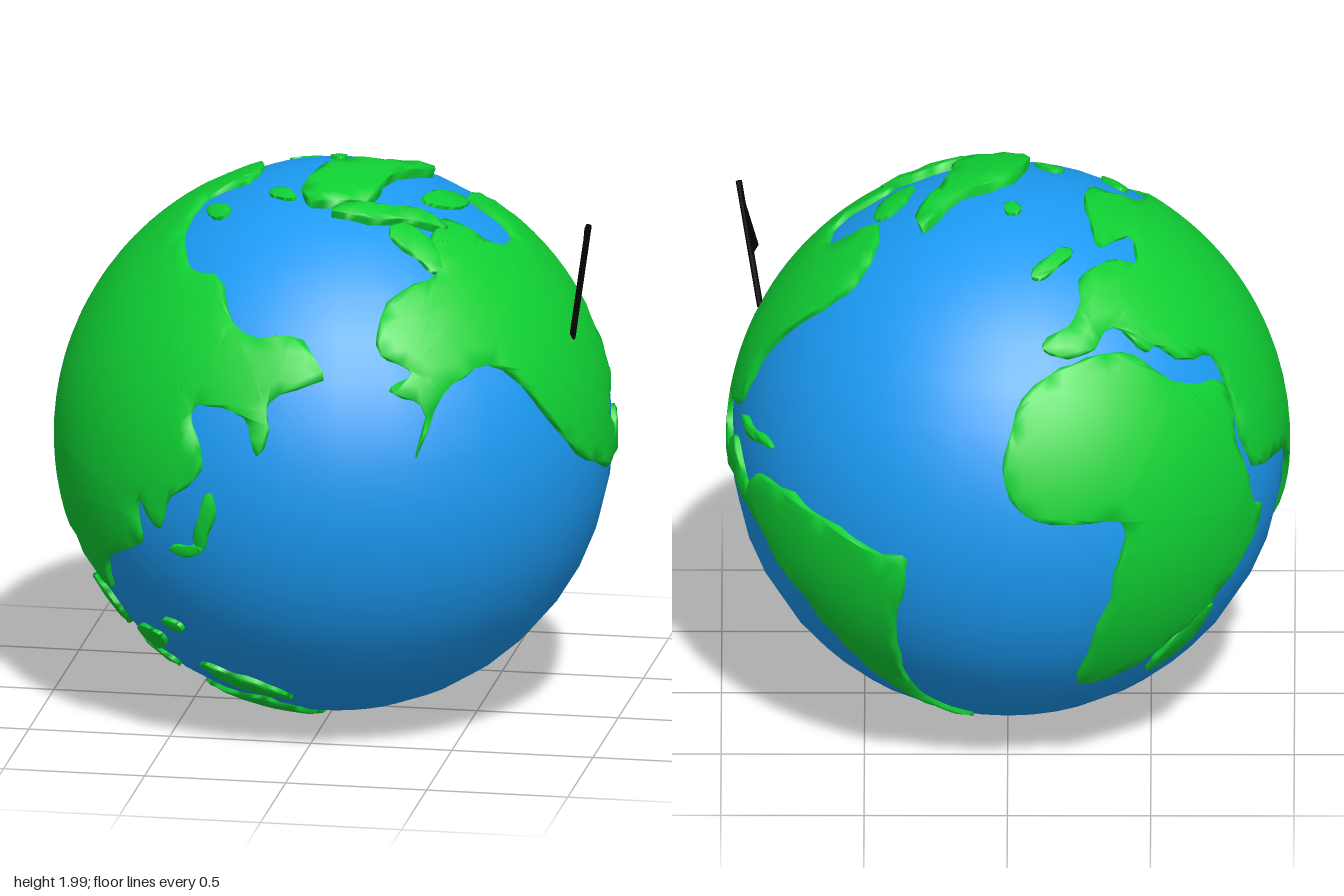
import * as THREE from 'three';

const CENTRE = 0.985, LAND = 0.985, OCEAN = 0.968;

// A chart turns flat coast points (hundredths) into points on the globe, seen from an azimuth and elevation.
function chart(az, el, v0 = 0, flip = 1) {
  const a = THREE.MathUtils.degToRad(az), e = THREE.MathUtils.degToRad(el);
  const d = new THREE.Vector3(Math.sin(a) * Math.cos(e), Math.sin(e), Math.cos(a) * Math.cos(e));
  const r = new THREE.Vector3(Math.cos(a), 0, -Math.sin(a));
  const up = d.clone().cross(r);
  return (...c) => {
    const out = [];
    for (let i = 0; i < c.length; i += 2) {
      const u = c[i] / 100, v = flip * (c[i + 1] / 100 - v0);
      const w = Math.sqrt(Math.max(0, LAND * LAND - u * u - v * v));
      out.push(new THREE.Vector3().addScaledVector(r, u).addScaledVector(up, v).addScaledVector(d, w).normalize());
    }
    return out;
  };
}
const pacific = chart(0, 0, CENTRE);
const americas = chart(90, 0, CENTRE);
const arctic = chart(0, 90, 0, -1);
const antarctic = chart(0, -90);
const africaSide = chart(215, 25);
const southAtlantic = chart(140, -28);

// Oval island on a chart: centre, half length, half width, turn in degrees.
function island(map, u, v, long, wide, turn) {
  const t = THREE.MathUtils.degToRad(turn), c = [];
  for (let i = 0; i < 8; i++) {
    const a = i * Math.PI / 4, x = long * Math.cos(a), y = wide * Math.sin(a);
    c.push(u + x * Math.cos(t) - y * Math.sin(t), v + x * Math.sin(t) + y * Math.cos(t));
  }
  return map(...c);
}

// Ragged shoreline: a smooth wave field nudges each coast point.
function ragged(p) {
  const wave = (a, b) => 0.008 * Math.sin(28 * a + 9 * b) + 0.005 * Math.sin(61 * b - 17 * a);
  return p.set(p.x + wave(p.y, p.z), p.y + wave(p.z, p.x), p.z + wave(p.x, p.y)).normalize();
}

// Curved slab of land: coast flattened around its middle, triangulated, refined and wrapped on the globe.
function landGeometry(coast, top) {
  const ring = new THREE.CatmullRomCurve3(coast, true, 'centripetal').getPoints(coast.length * 4).slice(0, -1).map(ragged);
  const mid = new THREE.Vector3();
  ring.forEach(p => mid.add(p));
  mid.normalize();
  const e1 = new THREE.Vector3(0.3, 0.5, 0.8).cross(mid).normalize();
  const e2 = mid.clone().cross(e1);
  const flat = ring.map(p => {
    const x = p.dot(e1), y = p.dot(e2), k = Math.acos(THREE.MathUtils.clamp(p.dot(mid), -1, 1)) / (Math.hypot(x, y) || 1);
    return new THREE.Vector2(x * k, y * k);
  });
  const faces = THREE.ShapeUtils.triangulateShape(flat.slice(), []);
  const mids = new Map(), tris = [];
  const middle = (a, b) => {
    const key = a < b ? `${a}_${b}` : `${b}_${a}`;
    if (!mids.has(key)) mids.set(key, flat.push(flat[a].clone().add(flat[b]).multiplyScalar(0.5)) - 1);
    return mids.get(key);
  };
  const split = (a, b, c) => {
    const ab = flat[a].distanceTo(flat[b]), bc = flat[b].distanceTo(flat[c]), ca = flat[c].distanceTo(flat[a]);
    if (bc > ab && bc >= ca) return split(b, c, a);
    if (ca > ab && ca > bc) return split(c, a, b);
    if (ab <= 0.09) { tris.push([a, b, c]); return; }
    const m = middle(a, b);
    split(a, m, c);
    split(m, b, c);
  };
  for (const [a, b, c] of faces) {
    const p = flat[a], q = flat[b], s = flat[c];
    const area = (q.x - p.x) * (s.y - p.y) - (q.y - p.y) * (s.x - p.x);
    if (area > 0) split(a, b, c); else split(a, c, b);
  }
  // edges used once form the shore, which drops below the water
  const edges = new Set(tris.flatMap(([a, b, c]) => [`${a}_${b}`, `${b}_${c}`, `${c}_${a}`]));
  const shore = [...edges].map(k => k.split('_').map(Number)).filter(([a, b]) => !edges.has(`${b}_${a}`));
  const rim = new Set(shore.flat());
  const n = flat.length, pos = [], index = tris.flat();
  for (const under of [false, true]) flat.forEach((f, i) => {
    const ang = f.length(), k = ang ? Math.sin(ang) / ang : 1;
    const radius = under ? 0.95 : rim.has(i) ? top - 0.006 : top;
    const p = mid.clone().multiplyScalar(Math.cos(ang)).addScaledVector(e1, f.x * k).addScaledVector(e2, f.y * k);
    pos.push(p.x * radius, p.y * radius, p.z * radius);
  });
  for (const [a, b] of shore) index.push(a, a + n, b, b, a + n, b + n);
  const g = new THREE.BufferGeometry();
  g.setAttribute('position', new THREE.Float32BufferAttribute(pos, 3));
  g.setIndex(index);
  g.computeVertexNormals();
  return g;
}

function coasts() {
  return {
    northAmerica: [
      ...pacific(30, 152, 40, 145, 34, 139, 46, 133, 44, 117, 52, 136, 65, 144),
      ...americas(-45, 121, -31, 105, -7, 94, 17, 95, 34, 90, 42, 95, 28, 102, 19, 109, 9, 102, -1, 113, 18, 123, 22, 142, 33, 171),
      ...arctic(48, -27, 47, -8, 63, 0, 60, 16, 42, 19, 40, 36, 44, 46, 30, 65)],
    southAmerica: southAtlantic(-48, 34, -39, 48, -11, 51, 18, 43, 32, 39, 26, 20, 18, -12, 16, -35, 22, -54, 6, -22, -11, 6, -36, 28),
    africa: africaSide(-42, 19, -23, 27, 0, 24, 12, 11, 36, 5, 37, -18, 44, -39, 51, -41, 44, -51, 29, -67, 11, -79, -21, -87,
      -22, -58, -18, -33, -42, -27, -55, -13, -53, 2),
    eurasia: [
      ...arctic(-13, -69, -24, -59, -26, -45, -36, -34, -46, -30, -42, -17, -32, -28, -28, -10, -30, 9, -40, 10, -46, 14,
        -45, 47, -33, 58, -18, 78, 3, 80),
      ...pacific(10, 144, -8, 136, -7, 125, -12, 116, -16, 130, -33, 132, -36, 124, -31, 110, -44, 97, -47, 85, -57, 95,
        -57, 78, -72, 65, -71, 52, -86, 67),
      ...africaSide(83, -41, 79, -53, 74, -25, 45, -26, 38, 0, 35, 15, 16, 19, 11, 26, 7, 25, -2, 35, -16, 29, -28, 31)],
    australia: antarctic(-41, 28, -30, 36, -17, 47, -7, 36, -1, 17, 0, 5, -23, -11, -38, 10),
    greenland: arctic(30, -22, 16, -8, -2, 4, -5, 30, 11, 32, 19, 25, 20, 8, 32, -15),
    baffinIsland: island(arctic, 40, 5, 12, 5, -61),
    northernArchipelago: island(arctic, 24, 31, 20, 4, -18),
    westernArchipelago: island(arctic, 36, 40, 11, 6, 20),
    iceland: island(arctic, -2, -16, 3, 4, 0),
    britain: island(arctic, -16, -41, 9, 3, -45),
    polarIsland: island(arctic, -14, 25, 6, 3, 40),
    siberianIsland: island(arctic, -38, 26, 7, 3, 50),
    newZealand: island(southAtlantic, -4, -77, 10, 2, 8),
    madagascar: island(africaSide, 17, -80, 13, 4, 40),
    japan: island(pacific, -31, 91, 12, 3, 80),
    southJapan: island(pacific, -38, 79, 7, 2, 15),
    newGuinea: island(pacific, -22, 22, 17, 3, -20),
    borneo: island(pacific, -57, 35, 6, 6, 0),
    sumatra: island(pacific, -75, 42, 11, 4, -55),
    java: island(pacific, -58, 25, 10, 2, -20),
    philippines: island(pacific, -46, 45, 4, 2, 0),
    cuba: island(americas, 36, 118, 13, 2, 0),
  };
}

export function createModel() {
  const model = new THREE.Group();
  const blue = new THREE.MeshStandardMaterial({ color: 0x1b9af3 });
  const green = new THREE.MeshStandardMaterial({ color: 0x0fd033, side: THREE.DoubleSide });
  const black = new THREE.MeshStandardMaterial({ color: 0x050505, side: THREE.DoubleSide });
  const add = (parent, geometry, material, name) => {
    const mesh = new THREE.Mesh(geometry, material);
    mesh.name = name;
    parent.add(mesh);
    return mesh;
  };

  // globe with raised land
  const globe = new THREE.Group();
  globe.name = 'globe';
  globe.position.y = CENTRE;
  model.add(globe);
  add(globe, new THREE.SphereGeometry(OCEAN, 32, 20), blue, 'ocean');
  const raised = { greenland: 1.005, northernArchipelago: 1 };
  for (const [name, coast] of Object.entries(coasts())) add(globe, landGeometry(coast, raised[name] ?? LAND), green, name);

  // flag planted on the northern continent
  const flag = new THREE.Group();
  flag.name = 'flag';
  model.add(flag);
  const foot = new THREE.Vector3(0.865, 1.42, 0.155), tip = new THREE.Vector3(0.94, 1.86, 0.25);
  const pole = add(flag, new THREE.CylinderGeometry(0.011, 0.011, foot.distanceTo(tip), 8), black, 'flagPole');
  pole.position.copy(foot).lerp(tip, 0.5);
  pole.quaternion.setFromUnitVectors(new THREE.Vector3(0, 1, 0), tip.clone().sub(foot).normalize());
  const cloth = new THREE.BufferGeometry().setFromPoints([tip, foot.clone().lerp(tip, 0.4), new THREE.Vector3(0.87, 1.76, -0.06)]);
  cloth.computeVertexNormals();
  add(flag, cloth, black, 'flagCloth');
  return model;
}
